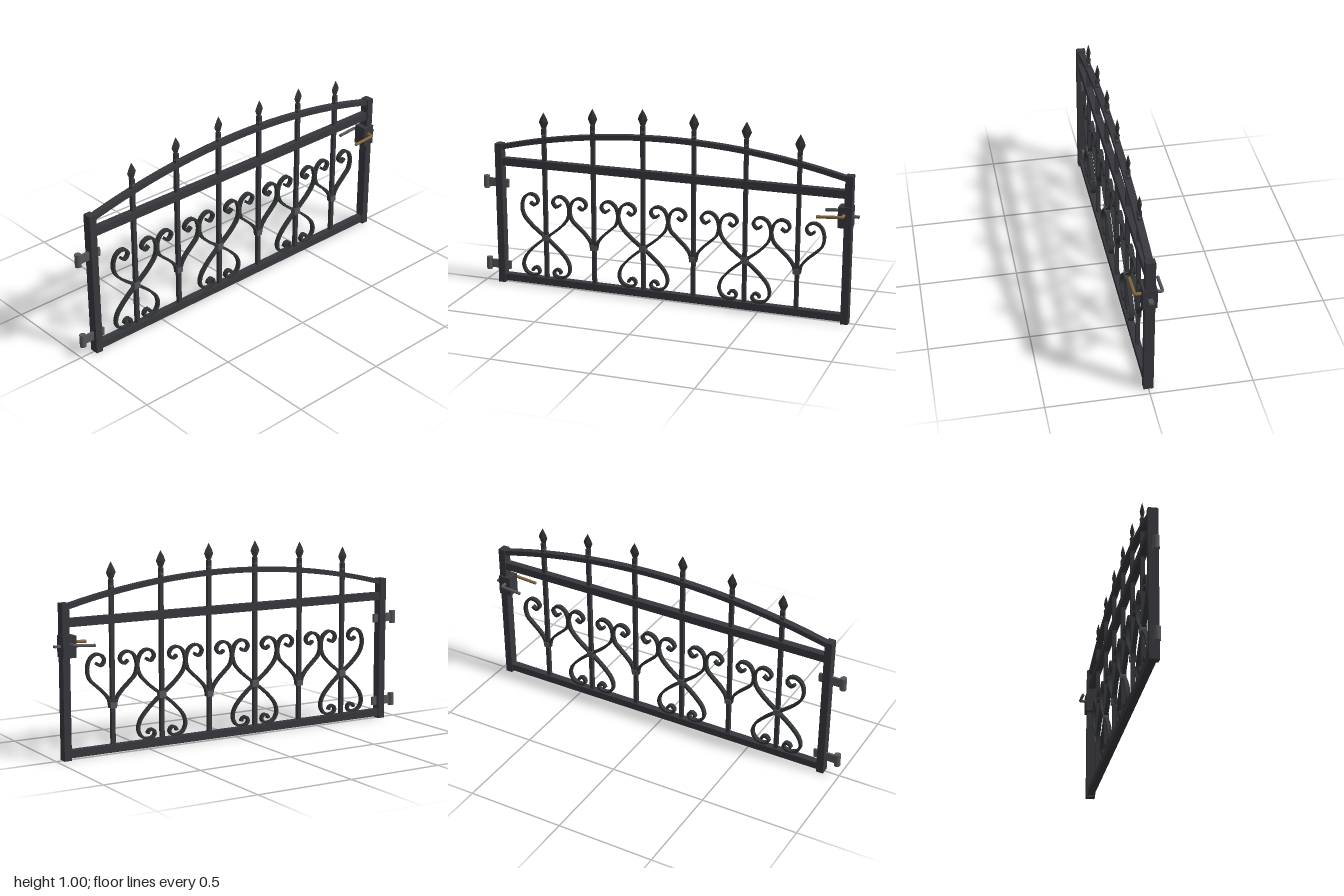
import * as THREE from 'three';
import { toCreasedNormals } from 'three/addons/utils/BufferGeometryUtils.js';

const mat = (name, color) => {
  const m = new THREE.MeshStandardMaterial({ color });
  m.name = name;
  return m;
};

export function createModel() {
  const gate = new THREE.Group();
  gate.name = 'gardenGate';
  const iron = mat('dark iron', 0x38373d);
  const wrought = mat('wrought iron', 0x333638);
  const steel = mat('grey steel', 0x55575a);
  const bronze = mat('bronze', 0x86683f);

  const add = (name, geo, material, x = 0, y = 0, z = 0, parent = gate) => {
    const m = new THREE.Mesh(geo, material);
    m.name = name;
    m.position.set(x, y, z);
    parent.add(m);
    return m;
  };
  const box = (name, material, x0, x1, y0, y1, depth, parent = gate) =>
    add(name, new THREE.BoxGeometry(x1 - x0, y1 - y0, depth), material, (x0 + x1) / 2, (y0 + y1) / 2, 0, parent);

  // Flat strip of metal bent along a curve in the gate's plane
  const strip = (points, width, depth, steps) => {
    const curve = new THREE.CatmullRomCurve3(points.map(([x, y]) => new THREE.Vector3(x, y, 0)), false, 'centripetal');
    const left = [], right = [];
    for (let i = 0; i <= steps; i++) {
      const p = curve.getPointAt(i / steps), t = curve.getTangentAt(i / steps);
      const nx = -t.y * width / 2, ny = t.x * width / 2;
      left.push(new THREE.Vector2(p.x + nx, p.y + ny));
      right.unshift(new THREE.Vector2(p.x - nx, p.y - ny));
    }
    const geo = new THREE.ExtrudeGeometry(new THREE.Shape([...left, ...right]), { depth, bevelEnabled: false });
    geo.translate(0, 0, -depth / 2);
    return toCreasedNormals(geo, 0.7);
  };

  // Frame
  box('hingePost', iron, -0.922, -0.885, 0, 0.757, 0.048);
  box('latchPost', iron, 0.929, 0.966, 0, 0.757, 0.048);
  box('bottomRail', iron, -0.89, 0.935, 0.011, 0.048, 0.036);
  box('middleRail', iron, -0.89, 0.935, 0.642, 0.682, 0.036);

  // Arched top rail
  const archY = (x) => 0.853 - 0.113 * ((x - 0.022) / 0.907) ** 2;
  const archPoints = [];
  for (let i = 0; i <= 12; i++) {
    const x = -0.89 + (1.825 * i) / 12;
    archPoints.push([x, archY(x)]);
  }
  add('archedTopRail', strip(archPoints, 0.025, 0.034, 40), iron);

  // Scroll paths, relative to the bar they flank
  const upperCurl = [[0.085, 0.454], [0.062, 0.44], [0.042, 0.464], [0.055, 0.489], [0.085, 0.498],
    [0.117, 0.479], [0.133, 0.43], [0.122, 0.38]];
  const sPath = [...upperCurl, [0.085, 0.335], [0.04, 0.297], [0, 0.267], [-0.04, 0.236], [-0.085, 0.195],
    [-0.121, 0.15], [-0.132, 0.105], [-0.115, 0.068], [-0.08, 0.054], [-0.05, 0.061], [-0.041, 0.08],
    [-0.055, 0.098], [-0.077, 0.091], [-0.08, 0.077]];
  const heartPath = [...upperCurl, [0.09, 0.347], [0.048, 0.308], [0.02, 0.27], [0.012, 0.23]];
  const mirrored = (path) => path.map(([x, y]) => [-x, y]);
  const sGeos = [sPath, mirrored(sPath)].map((p) => strip(p, 0.013, 0.022, 90));
  const heartGeos = [heartPath, mirrored(heartPath)].map((p) => strip(p, 0.013, 0.022, 56));

  // Faceted, flattened spearhead with its tip at the origin
  const spearProfile = [[0.001, -0.092], [0.009, -0.09], [0.026, -0.052], [0.018, -0.032], [0, 0]]
    .map(([x, y]) => new THREE.Vector2(x, y));
  const spearGeo = new THREE.LatheGeometry(spearProfile, 4).toNonIndexed();
  spearGeo.scale(1, 1, 0.46);
  spearGeo.computeVertexNormals();
  const beadGeo = new THREE.SphereGeometry(0.013, 14, 8);
  beadGeo.scale(1, 0.75, 1);

  // Upright bars with spearheads and scrolls
  for (let i = 0; i < 6; i++) {
    const x = -0.652 + 0.27 * i;
    const tip = archY(x) + 0.1475;
    const picket = new THREE.Group();
    picket.name = 'picket' + (i + 1);
    picket.position.x = x;
    gate.add(picket);
    box('bar', iron, -0.01, 0.01, 0.04, tip - 0.085, 0.02, picket);
    add('spearhead', spearGeo, wrought, 0, tip, 0, picket);
    add('upperBead', beadGeo, wrought, 0, tip - 0.093, 0, picket);
    add('lowerBead', beadGeo, steel, 0, tip - 0.118, 0, picket);
    const crossed = i % 2 === 0;
    for (const geo of crossed ? sGeos : heartGeos)
      add(crossed ? 'crossedScroll' : 'heartScroll', geo, wrought, 0, 0, 0, picket);
    if (crossed) box('crossingCollar', steel, -0.018, 0.018, 0.251, 0.285, 0.03, picket);
    else box('heartCollar', steel, -0.016, 0.016, 0.228, 0.256, 0.03, picket);
  }

  // Hinges: pin barrel and a thin arm passing through the post
  for (const y of [0.093, 0.543]) {
    const hinge = new THREE.Group();
    hinge.name = 'hinge';
    hinge.position.y = y;
    gate.add(hinge);
    add('hingeBarrel', new THREE.CylinderGeometry(0.016, 0.016, 0.066, 20), steel, -0.984, 0, 0, hinge);
    box('hingeArm', steel, -0.98, -0.858, -0.022, 0.022, 0.012, hinge);
  }

  // Lock box, bolt and the two lever handles
  box('lockBox', iron, 0.9, 0.968, 0.497, 0.602, 0.068);
  box('latchBolt', steel, 0.96, 1, 0.547, 0.557, 0.022);
  const lever = (name, side, tipX, material) => {
    const path = new THREE.CurvePath();
    const v = (x, y, z) => new THREE.Vector3(x, y, z * side);
    path.add(new THREE.LineCurve3(v(0.93, 0.562, 0.03), v(0.93, 0.562, 0.056)));
    path.add(new THREE.QuadraticBezierCurve3(v(0.93, 0.562, 0.056), v(0.93, 0.562, 0.065), v(0.92, 0.561, 0.065)));
    path.add(new THREE.LineCurve3(v(0.92, 0.561, 0.065), v(tipX, 0.553, 0.065)));
    add(name, new THREE.TubeGeometry(path, 40, 0.008, 12), material);
    const cap = add(name + 'Tip', new THREE.SphereGeometry(0.0085, 12, 8), material, tipX, 0.553, 0.065 * side);
    cap.scale.x = 0.6;
  };
  lever('frontHandle', 1, 0.805, bronze);
  lever('backHandle', -1, 0.82, steel);

  return gate;
}
